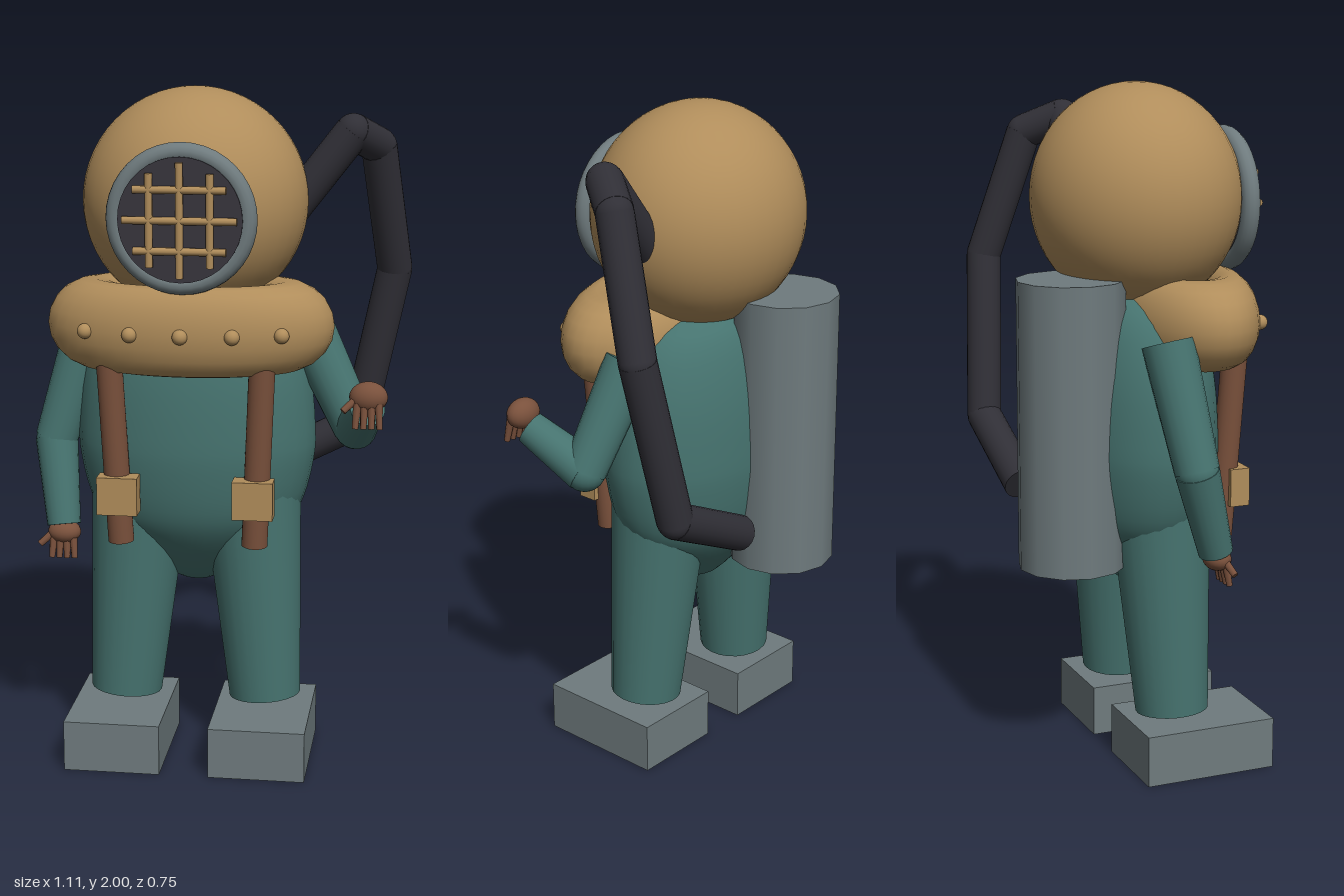
import * as THREE from 'three';

const paint = (name, color) => {
  const m = new THREE.MeshStandardMaterial({ color });
  m.name = name;
  return m;
};

export function createModel() {
  const root = new THREE.Group();
  root.name = 'diver';
  const brass = paint('brass', 0xb08d5b);
  const cloth = paint('tealCloth', 0x46736f);
  const lead = paint('leadGrey', 0x6f7b7e);
  const leather = paint('brownLeather', 0x7a513c);
  const rubber = paint('blackRubber', 0x302f36);
  const glass = paint('darkGlass', 0x38353d);
  const V = (x, y, z) => new THREE.Vector3(x, y, z);
  const CX = -0.065; // body axis

  const add = (name, geo, mat, x = 0, y = 0, z = 0, parent = root) => {
    const m = new THREE.Mesh(geo, mat);
    m.name = name;
    m.position.set(x, y, z);
    parent.add(m);
    return m;
  };
  // tapered cylinder running from a to b
  const limb = (name, a, b, ra, rb, mat, sides = 20, parent = root) => {
    const d = b.clone().sub(a);
    const m = add(name, new THREE.CylinderGeometry(rb, ra, d.length(), sides), mat, 0, 0, 0, parent);
    m.position.copy(a).addScaledVector(d, 0.5);
    m.quaternion.setFromUnitVectors(V(0, 1, 0), d.normalize());
    return m;
  };
  const ball = (name, r, mat, p, parent = root) =>
    add(name, new THREE.SphereGeometry(r, 20, 14), mat, p.x, p.y, p.z, parent);

  // suit torso: egg shape, flattened front to back
  const profile = new THREE.SplineCurve([
    [0, 0.515], [0.07, 0.535], [0.17, 0.61], [0.27, 0.70], [0.32, 0.78], [0.35, 0.9],
    [0.355, 1.0], [0.335, 1.18], [0.27, 1.34], [0.16, 1.41], [0, 1.43],
  ].map(p => new THREE.Vector2(...p))).getPoints(30).map(p => p.setX(Math.max(p.x, 0)));
  add('torso', new THREE.LatheGeometry(profile, 36), cloth, CX, 0, 0.01).scale.z = 0.66;

  // helmet and collar
  add('helmet', new THREE.SphereGeometry(0.328, 40, 28), brass, CX, 1.672, 0.025).scale.z = 0.93;
  const collarGeo = new THREE.TorusGeometry(0.28, 0.137, 20, 40).rotateX(Math.PI / 2);
  add('collar', collarGeo, brass, CX, 1.33, 0.135).scale.set(1, 0.95, 0.515);
  for (const dx of [-0.28, -0.145, 0, 0.145, 0.28]) {
    const z = 0.135 + 0.213 * Math.sqrt(1 - (dx / 0.417) ** 2);
    ball('rivet', 0.022, brass, V(CX + dx, 1.33, z));
  }

  // porthole with grille
  const porthole = new THREE.Group();
  porthole.name = 'porthole';
  porthole.position.set(CX, 1.655, 0);
  root.add(porthole);
  add('portholeRing', new THREE.TorusGeometry(0.185, 0.028, 14, 40), lead, 0, 0, 0.305, porthole);
  add('portholeGlass', new THREE.CylinderGeometry(0.175, 0.175, 0.1, 36).rotateX(Math.PI / 2), glass, 0, 0, 0.285, porthole);
  for (const o of [-0.085, 0, 0.085]) {
    const h = o ? 0.13 : 0.16;
    limb('grilleUpright', V(o, -h, 0.345), V(o, h, 0.345), 0.011, 0.011, brass, 10, porthole);
    limb('grilleCrossbar', V(-h, o, 0.345), V(h, o, 0.345), 0.011, 0.011, brass, 10, porthole);
  }

  // legs, boots, straps and buckles on both sides
  for (const s of [-1, 1]) {
    limb('leg', V(CX + s * 0.213, 0.175, 0.055), V(CX + s * 0.165, 0.84, 0.03), 0.108, 0.15, cloth, 24);
    add('boot', new THREE.BoxGeometry(0.286, 0.152, 0.4), lead, CX + s * 0.2155, 0.076, 0.12);
    limb('strap', V(CX + s * 0.197, 0.69, 0.212), V(CX + s * 0.222, 1.27, 0.245), 0.038, 0.038, leather);
    add('buckle', new THREE.BoxGeometry(0.118, 0.112, 0.06), brass, CX + s * 0.197, 0.84, 0.25);
  }

  // arms: shoulder, elbow, wrist
  const arm = (side, shoulder, elbow, wrist) => {
    limb(side + 'UpperArm', shoulder, elbow, 0.076, 0.064, cloth);
    ball(side + 'Elbow', 0.062, cloth, elbow);
    limb(side + 'Forearm', elbow, wrist, 0.064, 0.05, cloth);
  };
  arm('right', V(-0.385, 1.3, -0.01), V(-0.488, 0.95, 0.035), V(-0.455, 0.7, 0.11));
  arm('left', V(0.26, 1.31, 0), V(0.41, 1.01, 0.045), V(0.455, 1.11, 0.215));

  // hands: palm, four drooping fingers and a thumb
  const hand = (side, palm, scale, fingerZ, drop) => {
    const g = new THREE.Group();
    g.name = side + 'Hand';
    g.position.copy(palm);
    root.add(g);
    ball('palm', 0.05, leather, V(0, 0, 0), g).scale.set(...scale);
    for (let i = 0; i < 4; i++) {
      const x = -0.03 + i * 0.02;
      limb('finger', V(x, -0.015, fingerZ * 0.6), V(x * 1.15, -drop, fingerZ), 0.012, 0.009, leather, 8, g);
    }
    limb('thumb', V(-0.03, 0, 0.01), V(-0.07, -0.035, fingerZ), 0.012, 0.01, leather, 8, g);
  };
  hand('right', V(-0.453, 0.68, 0.115), [1, 0.7, 0.8], 0.025, 0.075);
  hand('left', V(0.458, 1.15, 0.24), [1.1, 0.9, 0.8], 0.035, 0.085);

  // air tank
  add('airTank', new THREE.CylinderGeometry(0.158, 0.158, 0.84, 12), lead, -0.17, 1.04, -0.217);

  // jointed air hose from helmet to back
  const hose = [
    V(0.2, 1.63, -0.025), V(0.385, 1.87, -0.03), V(0.455, 1.82, -0.13),
    V(0.503, 1.44, -0.25), V(0.4, 0.95, -0.29), V(0.1, 0.8, -0.275),
  ];
  for (let i = 0; i < hose.length - 1; i++) {
    limb('hoseSection', hose[i], hose[i + 1], 0.053, 0.053, rubber);
    if (i) ball('hoseJoint', 0.052, rubber, hose[i]);
  }
  return root;
}
